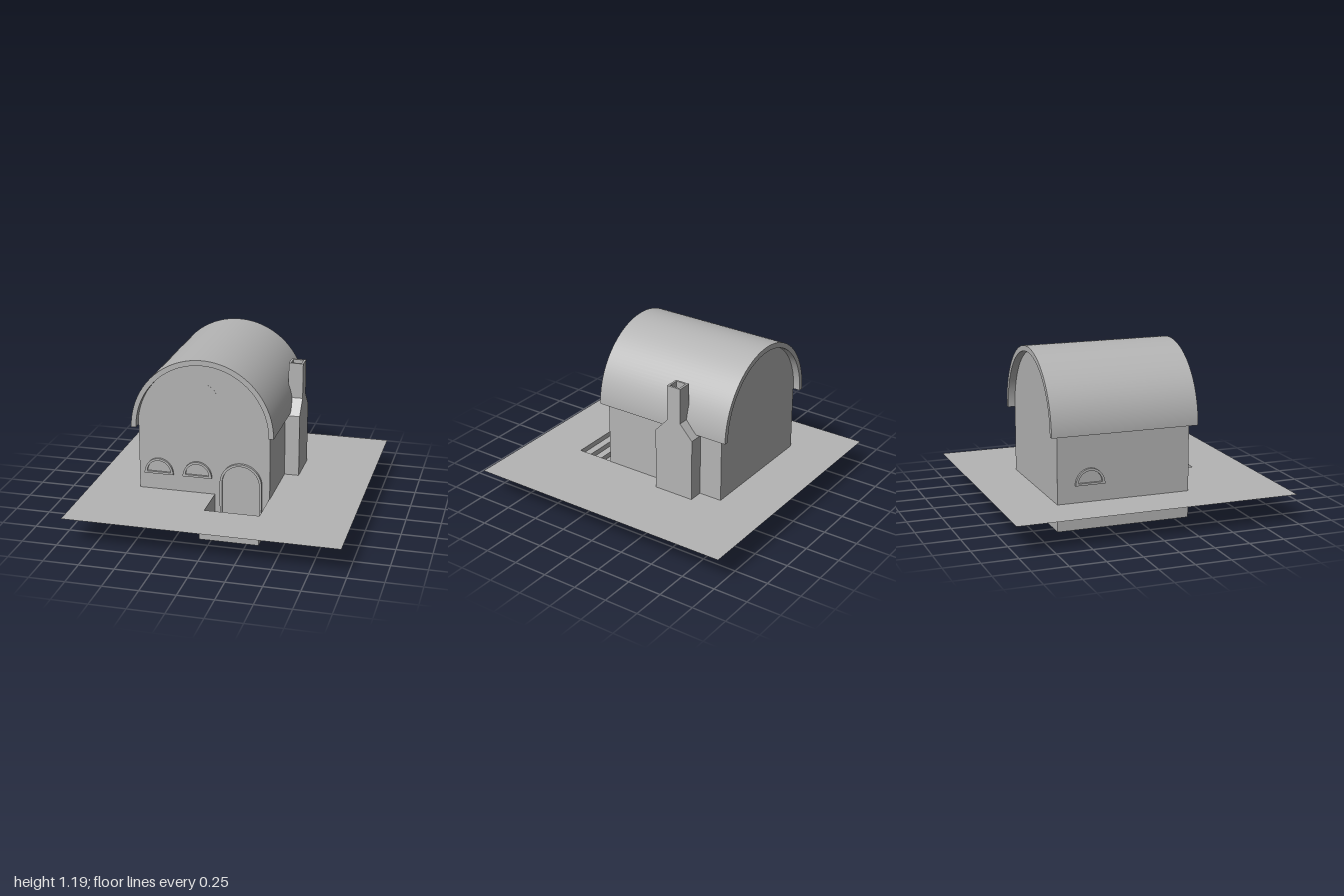
import * as THREE from 'three';

const stone = new THREE.MeshStandardMaterial({ color: 0xb4b4b4, side: THREE.DoubleSide });
stone.name = 'plain grey';

const CX = -0.14;          // middle of the house in x
const GROUND = 0.2;

function add(parent, name, geometry, x = 0, y = 0, z = 0) {
  const mesh = new THREE.Mesh(geometry, stone);
  mesh.name = name;
  mesh.position.set(x, y, z);
  parent.add(mesh);
  return mesh;
}

// Box given by its lower and upper corners
function block(parent, name, [x0, y0, z0], [x1, y1, z1]) {
  return add(parent, name, new THREE.BoxGeometry(x1 - x0, y1 - y0, z1 - z0),
    (x0 + x1) / 2, (y0 + y1) / 2, (z0 + z1) / 2);
}

const extrude = (shape, depth, curveSegments = 24) =>
  new THREE.ExtrudeGeometry(shape, { depth, bevelEnabled: false, curveSegments });

// Arch outline: straight legs from y = bottom up to y = spring, then a half ellipse
function arch(Type, rx, ry, spring = 0, bottom = 0) {
  const s = new Type();
  s.moveTo(rx, bottom);
  if (spring > bottom) s.lineTo(rx, spring);
  s.absellipse(0, spring, rx, ry, 0, Math.PI, false);
  if (spring > bottom) s.lineTo(-rx, bottom);
  s.closePath();
  return s;
}

// Curved roof shell with smooth inner and outer faces
function roofGeometry(depth) {
  const s = new THREE.Shape();
  s.moveTo(0.51, 0);
  s.absellipse(0, 0, 0.51, 0.525, 0, Math.PI, false);
  s.lineTo(-0.475, 0);
  s.absellipse(0, 0, 0.475, 0.487, Math.PI, 0, true);
  s.closePath();
  const g = extrude(s, depth, 32);
  const p = g.attributes.position, n = g.attributes.normal;
  for (let i = 0; i < p.count; i++) {
    const flatEnd = Math.abs(n.getZ(i)) > 0.5, foot = n.getY(i) < -0.99 && p.getY(i) < 0.01;
    if (flatEnd || foot) continue;
    const v = new THREE.Vector3(p.getX(i), p.getY(i), 0).normalize();
    if (v.x * n.getX(i) + v.y * n.getY(i) < 0) v.negate();
    n.setXYZ(i, v.x, v.y, 0);
  }
  return g;
}

// Half-round window with raised frame, facing +z
function halfWindow(parent, name) {
  const w = new THREE.Group();
  w.name = name;
  const frame = arch(THREE.Shape, 0.105, 0.115);
  const hole = new THREE.Path();
  hole.moveTo(0.085, 0.015);
  hole.absellipse(0, 0.015, 0.085, 0.083, 0, Math.PI, false);
  hole.closePath();
  frame.holes.push(hole);
  add(w, 'windowFrame', extrude(frame, 0.02));
  add(w, 'windowPane', extrude(arch(THREE.Shape, 0.09, 0.09), 0.004), 0, 0.012, 0);
  parent.add(w);
  return w;
}

export function createModel() {
  const model = new THREE.Group();
  model.name = 'vaultedHouse';

  // Ground sheet with an opening over the stairwell
  const sheet = new THREE.Shape([[-0.96, -1], [0.96, -1], [0.96, 1], [-0.96, 1]]
    .map(([x, y]) => new THREE.Vector2(x, y)));
  sheet.holes.push(new THREE.Path([[-0.06, -0.66], [-0.06, -0.33], [0.33, -0.33], [0.33, -0.66]]
    .map(([x, y]) => new THREE.Vector2(x, y))));
  add(model, 'ground', new THREE.ShapeGeometry(sheet), 0, GROUND, 0).rotation.x = -Math.PI / 2;

  // House body reaching below ground, with its rounded gable block
  block(model, 'walls', [-0.61, 0.01, -0.61], [0.335, 0.67, 0.34]);
  add(model, 'gables', extrude(arch(THREE.Shape, 0.474, 0.486), 0.95, 32), CX, 0.67, -0.61);
  add(model, 'roof', roofGeometry(1.05), CX, 0.67, -0.66);
  add(model, 'gableDisc', new THREE.CylinderGeometry(0.1, 0.1, 0.004, 32), CX, 0.91, 0.339)
    .rotation.x = Math.PI / 2;

  // Arched door
  const doorFrame = arch(THREE.Shape, 0.15, 0.15, 0.3, 0);
  doorFrame.holes.push(arch(THREE.Path, 0.133, 0.133, 0.3, 0.01));
  add(model, 'doorFrame', extrude(doorFrame, 0.055), 0.13, 0, 0.305);
  add(model, 'door', extrude(arch(THREE.Shape, 0.14, 0.14, 0.3, 0.001), 0.04), 0.13, 0, 0.307);

  // Windows
  for (const x of [-0.465, -0.185]) halfWindow(model, 'frontWindow').position.set(x, 0.32, 0.337);
  const side = halfWindow(model, 'sideWindow');
  side.position.set(-0.607, 0.32, -0.38);
  side.rotation.y = -Math.PI / 2;

  // Stairwell: floor, side walls and steps going down towards the door
  const top = GROUND - 0.002;
  block(model, 'stairwellFloor', [-0.08, 0.01, 0.34], [0.335, 0.014, 0.69]);
  block(model, 'stairwellLeftWall', [-0.08, 0.01, 0.34], [-0.06, top, 0.69]);
  block(model, 'stairwellRightWall', [0.33, 0.01, 0.34], [0.339, top, 0.69]);
  const steps = new THREE.Shape();
  steps.moveTo(-0.69, 0.011);
  steps.lineTo(-0.69, top);
  for (let i = 0; i < 5; i++) {
    const z = -0.62 + i * 0.055, y = top - i * 0.0374;
    steps.lineTo(z, y);
    steps.lineTo(z, i === 4 ? 0.011 : y - 0.0374);
  }
  steps.closePath();
  const stairs = add(model, 'stairs', extrude(steps, 0.4), -0.06, 0, 0);
  stairs.rotation.y = Math.PI / 2;
  stairs.position.x = -0.06;

  // Chimney with sloping shoulders and an open flue
  const chimney = new THREE.Group();
  chimney.name = 'chimney';
  const body = new THREE.Shape([[0.15, GROUND], [0.15, 0.655], [0.053, 0.76], [0.053, 0.92],
    [-0.053, 0.92], [-0.053, 0.76], [-0.15, 0.655], [-0.15, GROUND]]
    .map(([x, y]) => new THREE.Vector2(x, y)));
  add(chimney, 'chimneyBody', extrude(body, 0.105), 0.335, 0, -0.29).rotation.y = Math.PI / 2;
  const flue = new THREE.Shape([[-0.0525, -0.053], [0.0525, -0.053], [0.0525, 0.053], [-0.0525, 0.053]]
    .map(([x, y]) => new THREE.Vector2(x, y)));
  flue.holes.push(new THREE.Path([[-0.038, -0.038], [-0.038, 0.038], [0.038, 0.038], [0.038, -0.038]]
    .map(([x, y]) => new THREE.Vector2(x, y))));
  add(chimney, 'chimneyTop', extrude(flue, 0.1), 0.3875, 0.92, -0.29).rotation.x = -Math.PI / 2;
  model.add(chimney);

  return model;
}
